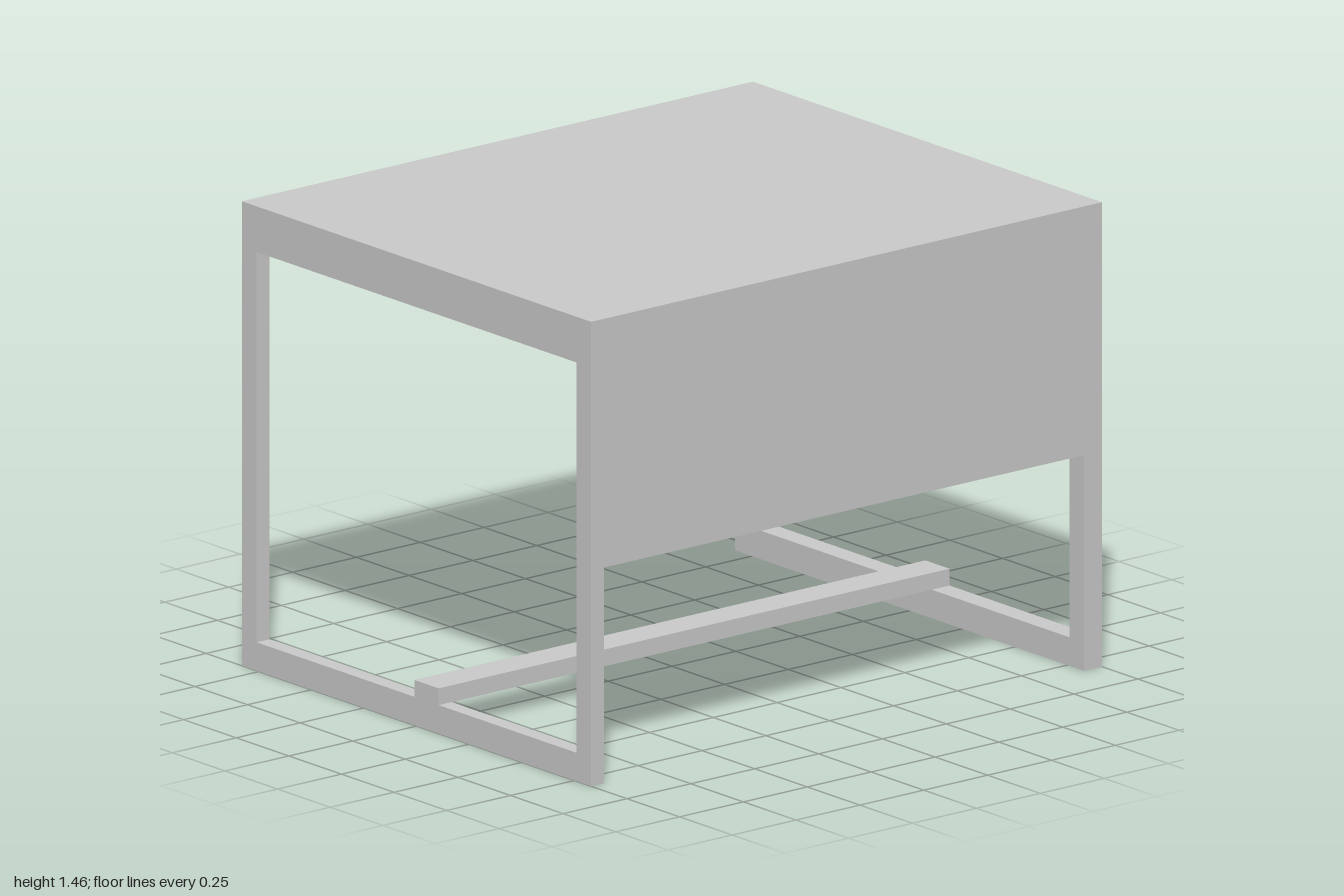
import * as THREE from 'three';

const HEIGHT = 1.464, APRON = 1.32, RAIL = 0.09;
const HALF_W = 1, HALF_D = 0.83, LEG_D = 0.07;

const solid = new THREE.MeshStandardMaterial({ color: 0xcccccc });
const sheet = new THREE.MeshStandardMaterial({ color: 0xcccccc, side: THREE.DoubleSide });

// Box given by its minimum and maximum corners
function box(name, [x0, y0, z0], [x1, y1, z1]) {
  const mesh = new THREE.Mesh(new THREE.BoxGeometry(x1 - x0, y1 - y0, z1 - z0), solid);
  mesh.position.set((x0 + x1) / 2, (y0 + y1) / 2, (z0 + z1) / 2);
  mesh.name = name;
  return mesh;
}

// Thin flat sheet
function panel(name, w, h, [x, y, z], rx = 0, ry = 0) {
  const mesh = new THREE.Mesh(new THREE.PlaneGeometry(w, h), sheet);
  mesh.position.set(x, y, z);
  mesh.rotation.set(rx, ry, 0);
  mesh.name = name;
  return mesh;
}

// Hollow rectangular leg, open at both ends
function leg(name, w, x, z) {
  const group = new THREE.Group();
  const y = APRON / 2;
  for (const s of [-1, 1]) {
    group.add(panel('legFace', w, APRON, [x, y, z + s * LEG_D / 2], 0, s > 0 ? 0 : Math.PI));
    group.add(panel('legSide', LEG_D, APRON, [x + s * w / 2, y, z], 0, s * Math.PI / 2));
  }
  group.name = name;
  return group;
}

export function createModel() {
  const model = new THREE.Group();
  model.name = 'desk';

  // Hollow top: thin sheet with aprons at the sides and back
  const apronH = HEIGHT - APRON, apronY = (HEIGHT + APRON) / 2;
  model.add(panel('top', 2 * HALF_W, 2 * HALF_D, [0, HEIGHT, 0], -Math.PI / 2));
  model.add(panel('backApron', 2 * HALF_W, apronH, [0, apronY, -HALF_D], 0, Math.PI));

  // Deep modesty panel at the front
  const panelBottom = 0.68;
  model.add(panel('frontPanel', 2 * HALF_W, HEIGHT - panelBottom,
    [0, (HEIGHT + panelBottom) / 2, HALF_D]));

  // Side frames: the left one is slightly wider than the right one
  for (const [side, s, w] of [['left', 1, 0.07], ['right', -1, 0.05]]) {
    const x = s * (HALF_W - w / 2), inner = HALF_D - LEG_D;
    model.add(panel(side + 'Apron', 2 * HALF_D, apronH, [s * HALF_W, apronY, 0], 0, s * Math.PI / 2));
    model.add(leg(side + 'FrontLeg', w, x, HALF_D - LEG_D / 2));
    model.add(leg(side + 'BackLeg', w, x, -HALF_D + LEG_D / 2));
    model.add(box(side + 'FloorRail', [x - w / 2, 0, -inner], [x + w / 2, RAIL, inner]));
    // Floor rail top and outer face run out over the leg's foot
  }

  // Stretcher lying across the floor rails
  model.add(box('stretcher', [-HALF_W, RAIL, -0.01], [HALF_W, 0.143, 0.105]));
  return model;
}
